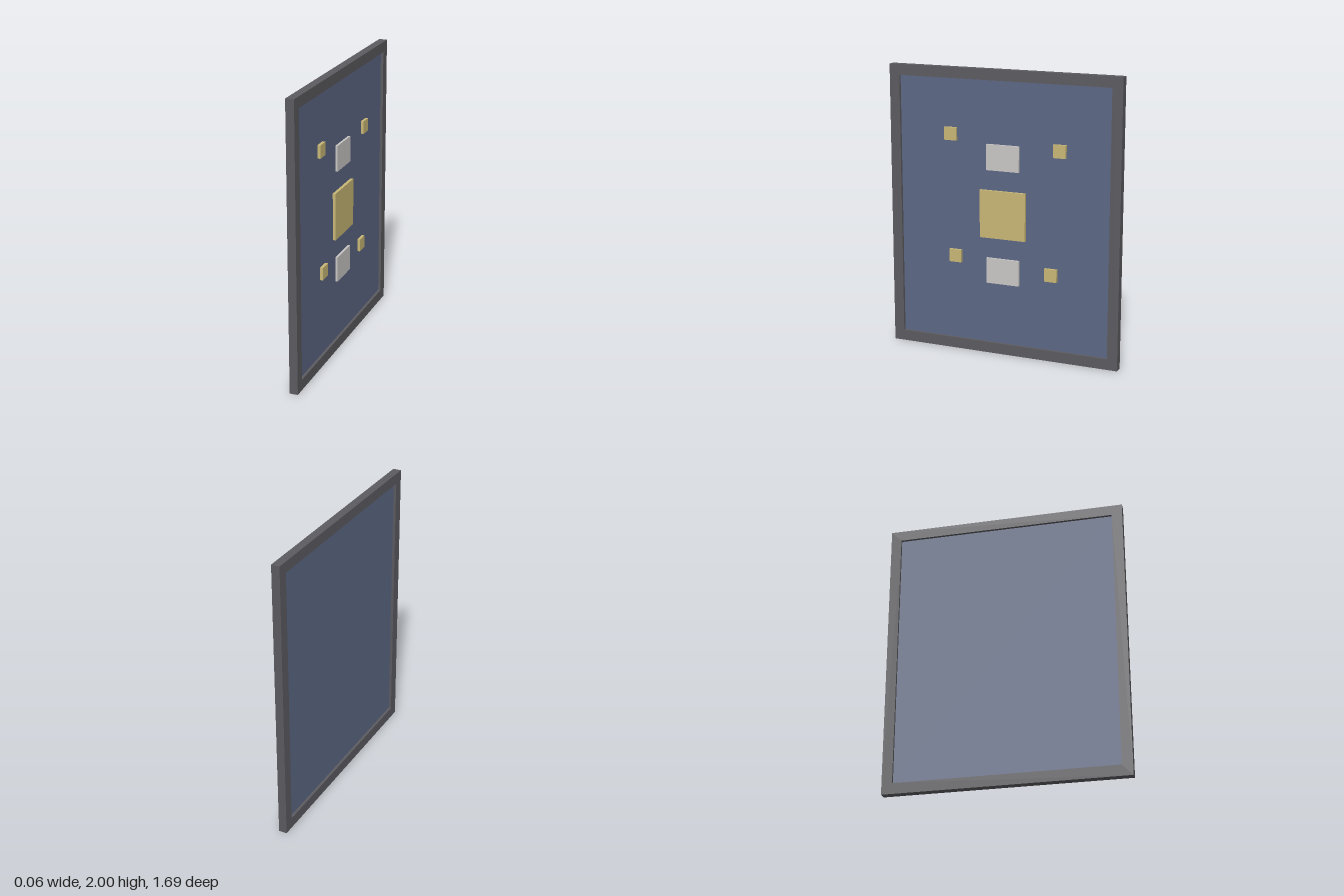
import * as THREE from 'three';

const material = (name, color) => {
  const m = new THREE.MeshStandardMaterial({ color });
  m.name = name;
  return m;
};

export function createModel() {
  const model = new THREE.Group();
  model.name = 'framedPanel';
  const darkGrey = material('dark grey', 0x5c5b60);
  const slateBlue = material('slate blue', 0x5d6885);
  const gold = material('gold', 0xcab877);
  const silver = material('silver', 0xcac8c6);

  // box spanning x0..x1, centred at height y and depth z
  const slab = (name, mat, x0, x1, y, z, h, d) => {
    const mesh = new THREE.Mesh(new THREE.BoxGeometry(x1 - x0, h, d), mat);
    mesh.name = name;
    mesh.position.set((x0 + x1) / 2, y, z);
    model.add(mesh);
  };

  // rectangular border with an open middle
  const rect = (target, w, y0, y1) =>
    target.moveTo(-w, y0).lineTo(w, y0).lineTo(w, y1).lineTo(-w, y1).closePath();
  const outline = rect(new THREE.Shape(), 0.845, 0, 2);
  outline.holes.push(rect(new THREE.Path(), 0.771, 0.076, 1.926));
  const border = new THREE.ExtrudeGeometry(outline, { depth: 0.058, bevelEnabled: false });
  border.rotateY(Math.PI / 2).translate(-0.03, 0, 0);
  const frame = new THREE.Mesh(border, darkGrey);
  frame.name = 'frame';
  model.add(frame);

  // panel recessed on both sides
  const face = 0.009;
  slab('panel', slateBlue, -0.011, face, 1.001, 0, 1.85, 1.542);

  // raised plates on the +x side
  slab('centrePlate', gold, face, 0.03, 1.002, 0, 0.335, 0.335);
  for (const y of [1.4, 0.6]) slab('silverPlate', silver, face, 0.025, y, 0, 0.18, 0.24);
  for (const [y, z] of [[1.543, 0.388], [1.479, -0.412], [0.68, 0.357], [0.616, -0.355]])
    slab('smallPlate', gold, face, 0.03, y, z, 0.09, 0.09);

  return model;
}
